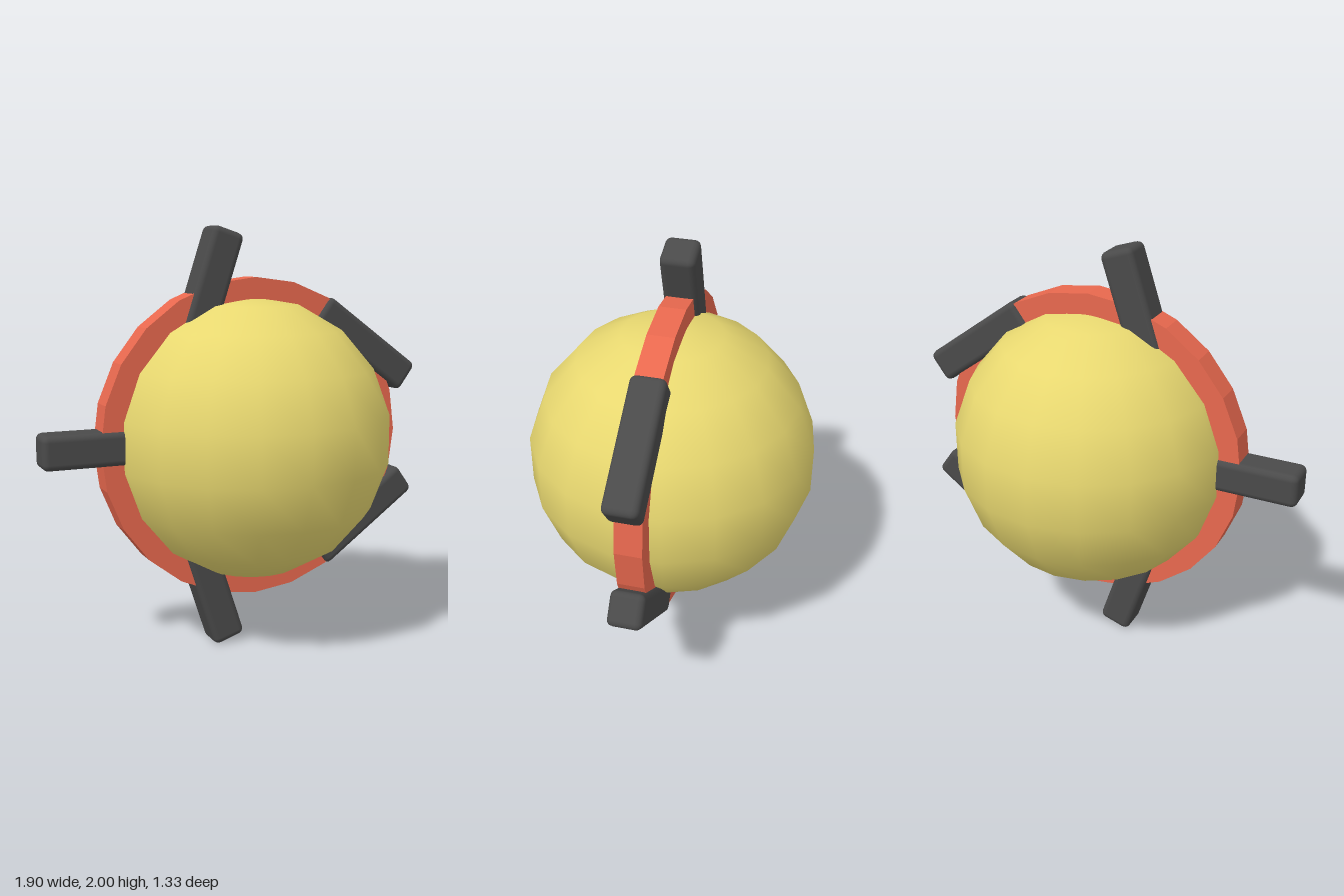
import * as THREE from 'three';
import { RoundedBoxGeometry } from 'three/addons/geometries/RoundedBoxGeometry.js';

const material = (color, flatShading = false) => new THREE.MeshStandardMaterial({ color, flatShading });

function addPart(parent, name, geometry, mat) {
  const mesh = new THREE.Mesh(geometry, mat);
  mesh.name = name;
  parent.add(mesh);
  return mesh;
}

export function createModel() {
  const model = new THREE.Group();
  model.name = 'spikedBall';

  // Everything is laid out around the ball's centre
  const hub = new THREE.Group();
  hub.name = 'hub';
  hub.position.set(0.08, 1, 0);
  model.add(hub);

  // Faceted outline with smooth shading; a vertex column faces the front
  addPart(hub, 'ball', new THREE.SphereGeometry(0.675, 18, 9, Math.PI / 2), material(0xe8d870));

  // Flat 24-sided band, square in section, its inner edge sunk into the ball
  const r = 0.765, inner = 0.6, w = 0.062;
  const section = [[inner, -w], [r, -w], [r, w], [inner, w], [inner, -w]].map(p => new THREE.Vector2(...p));
  const bandGeometry = new THREE.LatheGeometry(section, 24, Math.PI / 2);
  bandGeometry.rotateX(Math.PI / 2);
  addPart(hub, 'band', bandGeometry, material(0xe8684e, true));

  // Five bars spaced around the band, each tilted opposite to its angle
  const barGeometry = new RoundedBoxGeometry(0.6, 0.16, 0.16, 2, 0.03);
  const barMaterial = material(0x4a4a4a);
  for (let i = 0; i < 5; i++) {
    const a = Math.PI + (i * Math.PI * 2) / 5;
    const bar = addPart(hub, 'bar' + (i + 1), barGeometry, barMaterial);
    bar.position.set(Math.cos(a) * 0.733, Math.sin(a) * 0.733, 0);
    bar.rotation.z = -a;
  }
  return model;
}
